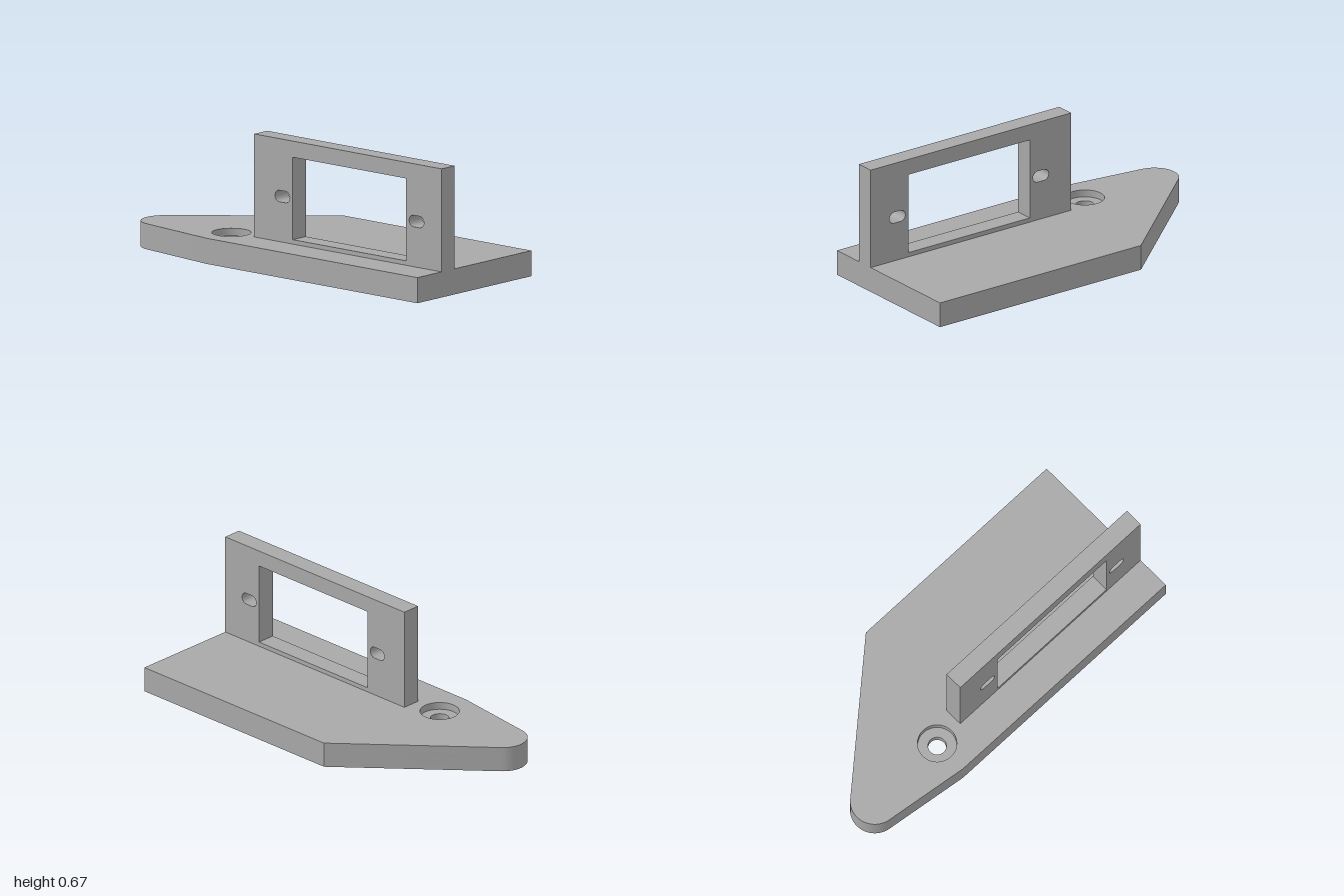
import * as THREE from 'three';
import { toCreasedNormals } from 'three/addons/utils/BufferGeometryUtils.js';

const BASE_H = 0.133;
const PIVOT = { x: -0.43, y: -0.245 }; // plan coordinates, y = -z

// Plate outline in plan: straight rear block tapering to a rounded nose
function baseOutline() {
  const s = new THREE.Shape();
  s.moveTo(1, -0.435);
  s.lineTo(1, 0.437);
  s.lineTo(-0.275, 0.437);
  s.absarc(-0.875, -0.25, 0.125, Math.PI - 0.857, Math.PI * 1.5 - 0.126, false);
  s.lineTo(-0.43, -0.435);
  s.closePath();
  return s;
}

function circleHole(r) {
  return new THREE.Path().absarc(PIVOT.x, PIVOT.y, r, 0, Math.PI * 2, false);
}

// Two-armed pocket: round hub with tapered, rounded arms
function armPocket() {
  const { x, y } = PIVOT, hub = 0.155, tip = 0.065, reach = 0.45;
  const a = Math.asin(0.1 / hub), P = Math.PI;
  const p = new THREE.Path();
  p.absarc(x, y, hub, a, P - a, false);
  p.absarc(x - reach, y, tip, P / 2, P * 1.5, false);
  p.absarc(x, y, hub, P + a, 2 * P - a, false);
  p.absarc(x + reach, y, tip, -P / 2, P / 2, false);
  p.closePath();
  return p;
}

// Horizontal slot with round ends
function slotHole(x, y, half, r) {
  const p = new THREE.Path();
  p.absarc(x + half - r, y, r, -Math.PI / 2, Math.PI / 2, false);
  p.absarc(x - half + r, y, r, Math.PI / 2, Math.PI * 1.5, false);
  p.closePath();
  return p;
}

function rectPath(path, x0, y0, x1, y1) {
  path.moveTo(x0, y0);
  path.lineTo(x1, y0);
  path.lineTo(x1, y1);
  path.lineTo(x0, y1);
  path.closePath();
  return path;
}

function extrude(shape, depth) {
  const g = new THREE.ExtrudeGeometry(shape, { depth, bevelEnabled: false, curveSegments: 20 });
  return toCreasedNormals(g, 0.5);
}

export function createModel() {
  const model = new THREE.Group();
  model.name = 'servoBracket';
  const grey = new THREE.MeshStandardMaterial({ color: 0xa8a8a8 });
  grey.name = 'plainGrey';

  const add = (name, geometry) => {
    const mesh = new THREE.Mesh(geometry, grey);
    mesh.name = name;
    model.add(mesh);
  };

  // Base plate in layers: arm pocket below, through hole, counterbore on top
  const layers = [
    ['basePocketLayer', 0, 0.055, armPocket()],
    ['baseHoleLayer', 0.055, 0.095, circleHole(0.047)],
    ['baseCounterboreLayer', 0.095, BASE_H, circleHole(0.1)],
  ];
  for (const [name, y0, y1, hole] of layers) {
    const shape = baseOutline();
    shape.holes.push(hole);
    add(name, extrude(shape, y1 - y0).rotateX(-Math.PI / 2).translate(0, y0, 0));
  }

  // Upright frame with a window and two screw slots
  const frame = rectPath(new THREE.Shape(), -0.272, BASE_H, 1, 0.668);
  frame.holes.push(rectPath(new THREE.Path(), -0.01, 0.156, 0.76, 0.584));
  for (const x of [-0.08, 0.83]) frame.holes.push(slotHole(x, 0.37, 0.05, 0.03));
  add('uprightFrame', extrude(frame, 0.1).translate(0, 0, 0.15));

  return model;
}
